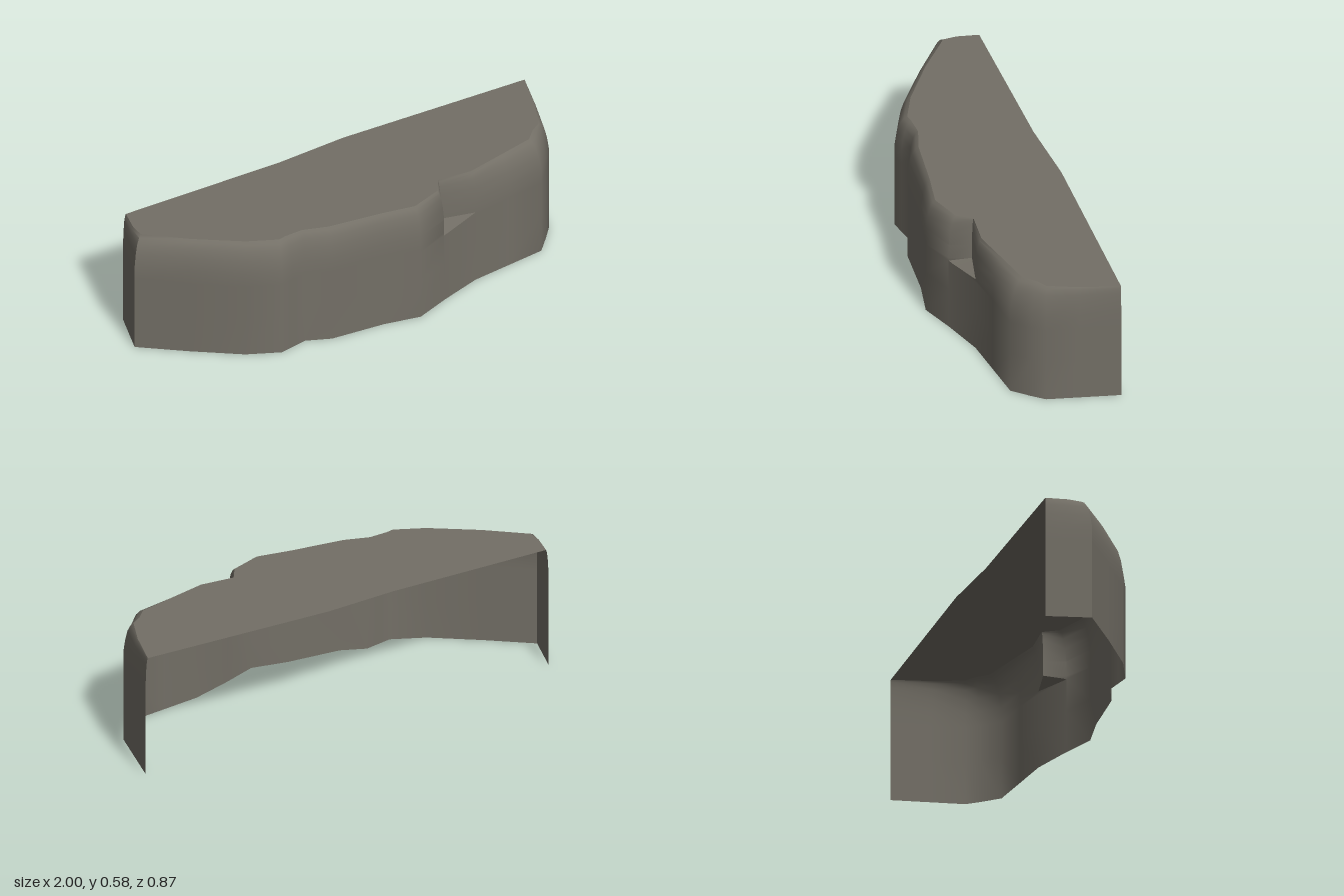
import * as THREE from 'three';
import { toCreasedNormals } from 'three/addons/utils/BufferGeometryUtils.js';

const HEIGHT = 0.58;

// Ground outline from the left end round the front: x, z, width of the worn top edge
const OUTLINE = [
  [-0.99, 0.0, 0.012], [-0.995, 0.1, 0.02], [-1.0, 0.205, 0.06], [-0.78, 0.305, 0.05],
  [-0.55, 0.4, 0.055], [-0.39, 0.432, 0.055], [-0.335, 0.408, 0.05], [-0.27, 0.38, 0.04],
  [-0.15, 0.4, 0.05], [0.1, 0.365, 0.04], [0.27, 0.36, 0.045], [0.405, 0.272, 0.04],
  [0.43, 0.257, 0.008], [0.58, 0.17, 0.03], [0.75, 0.11, 0.05], [0.92, 0.05, 0.07],
  [0.97, -0.04, 0.06], [1.0, -0.1, 0.045], [1.0, -0.25, 0.02], [1.0, -0.433, 0.01],
];
const NOTCH = 12; // outline point pushed back above the ledge
const BACK = [[0.1, -0.257], [-0.22, -0.165]]; // bends in the open back edge

// Height, share of the edge inset, and whether the level lies above the ledge
const LEVELS = [
  [0, 0, false], [0.2, 0, false], [0.355, 0, false], [0.37, 0, true], [0.44, 0, true],
  [0.5, 0.18, true], [0.545, 0.42, true], [0.57, 0.72, true], [HEIGHT, 1, true],
];

function ring([y, share, notched]) {
  const last = OUTLINE.length - 1;
  return OUTLINE.map(([x, z, width], i) => {
    const a = OUTLINE[Math.max(i - 1, 0)], b = OUTLINE[Math.min(i + 1, last)];
    const dx = b[0] - a[0], dz = b[1] - a[1], len = Math.hypot(dx, dz);
    if (notched && i === NOTCH) { x = 0.415; z = 0.17; }
    const inset = width * share;
    const end = i === 0 || i === last;
    return [x + (dz / len) * inset, y, end ? z : z - (dx / len) * inset];
  });
}

function wallGeometry(rings) {
  const n = OUTLINE.length, index = [];
  for (let j = 0; j < rings.length - 1; j++) {
    for (let i = 0; i < n - 1; i++) {
      const a = j * n + i, b = a + 1, c = a + n, d = b + n;
      index.push(a, b, d, a, d, c);
    }
  }
  const geo = new THREE.BufferGeometry();
  geo.setAttribute('position', new THREE.Float32BufferAttribute(rings.flat(2), 3));
  geo.setIndex(index);
  return toCreasedNormals(geo, 0.9);
}

function topGeometry(edge) {
  const points = edge.map(([x, , z]) => new THREE.Vector2(x, -z));
  BACK.forEach(([x, z]) => points.push(new THREE.Vector2(x, -z)));
  const geo = new THREE.ShapeGeometry(new THREE.Shape(points));
  geo.rotateX(-Math.PI / 2);
  geo.translate(0, HEIGHT, 0);
  return geo;
}

export function createModel() {
  const model = new THREE.Group();
  model.name = 'rockLedge';
  const stone = new THREE.MeshStandardMaterial({ color: 0x736f66, side: THREE.DoubleSide });
  stone.name = 'grey stone';

  // Front and end walls, open at the back and below
  const rings = LEVELS.map(ring);
  const wall = new THREE.Mesh(wallGeometry(rings), stone);
  wall.name = 'rockWall';

  // Flat top sheet
  const top = new THREE.Mesh(topGeometry(rings[rings.length - 1]), stone);
  top.name = 'rockTop';

  model.add(wall, top);
  return model;
}
